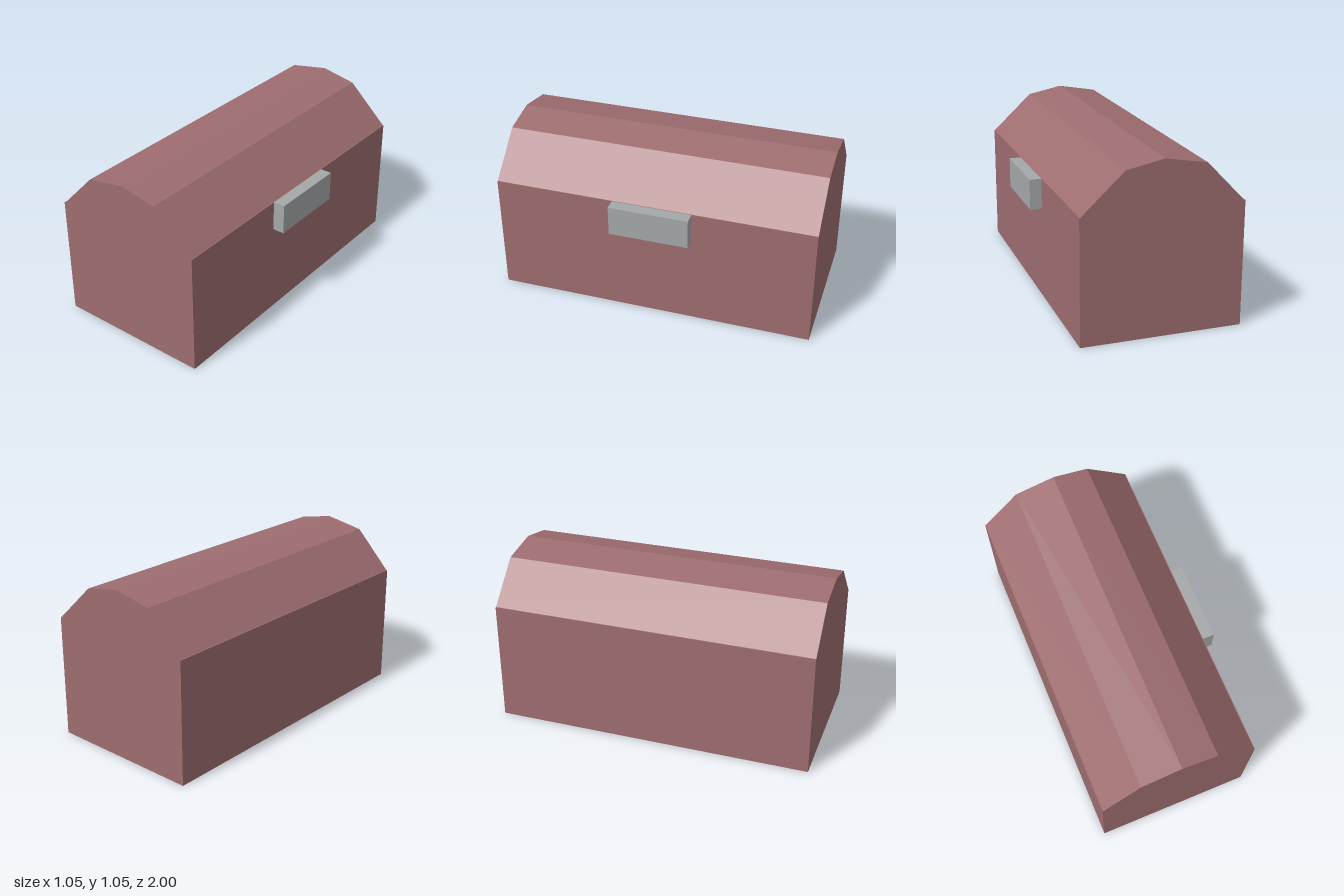
import * as THREE from 'three';

export function createModel() {
  const group = new THREE.Group();
  group.name = 'chest';

  const wood = new THREE.MeshStandardMaterial({ color: 0x9e6d70 });
  wood.name = 'dusty red wood';
  const metal = new THREE.MeshStandardMaterial({ color: 0xa5a8a9 });
  metal.name = 'grey metal';

  const add = (name, geometry, material) => {
    const mesh = new THREE.Mesh(geometry, material);
    mesh.name = name;
    group.add(mesh);
    return mesh;
  };

  const length = 2, back = -0.525, front = 0.45, rim = 0.762;

  // Rectangular base
  add('base', new THREE.BoxGeometry(front - back, rim, length), wood)
    .position.set((front + back) / 2, rim / 2, 0);

  // Faceted lid, extruded along the length
  const profile = [
    [back + 0.007, rim], [front - 0.005, rim], [0.188, 1.002],
    [-0.037, 1.047], [-0.288, 1.002],
  ].map(([x, y]) => new THREE.Vector2(x, y));
  const lid = new THREE.ExtrudeGeometry(new THREE.Shape(profile), {
    depth: length, bevelEnabled: false,
  });
  lid.translate(0, 0, -length / 2);
  add('lid', lid, wood);

  // Clasp block on the long side, just under the rim
  add('clasp', new THREE.BoxGeometry(0.073, 0.188, 0.496), metal)
    .position.set(front + 0.0365, rim - 0.094, 0);

  return group;
}
